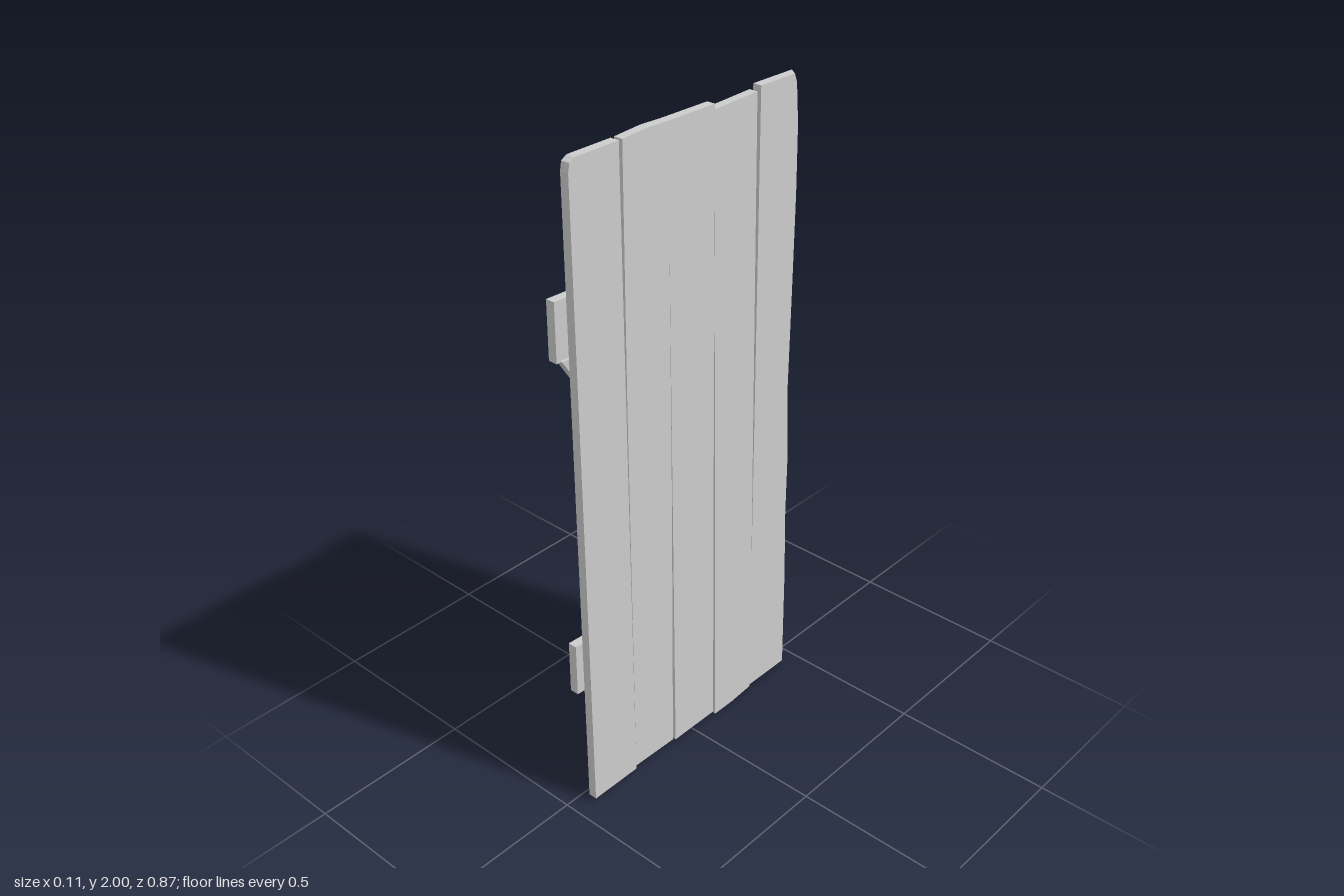
import * as THREE from 'three';

const THICK = 0.027;
const material = new THREE.MeshStandardMaterial({ color: 0xcccccc, flatShading: true });

// Upright board: outline of [z, y] points, thickened along x;
// backX(y, z) places its back face, adjust() may move single vertices.
function board(name, outline, thick, backX, adjust) {
  const shape = new THREE.Shape(outline.map(([z, y]) => new THREE.Vector2(-z, y)));
  const geo = new THREE.ExtrudeGeometry(shape, { depth: thick, bevelEnabled: false });
  geo.rotateY(Math.PI / 2);
  const p = geo.attributes.position;
  for (let i = 0; i < p.count; i++) {
    let x = p.getX(i), y = p.getY(i), z = p.getZ(i);
    if (adjust) z = adjust(x > thick / 2, y, z);
    p.setXYZ(i, x + backX(y, z), y, z);
  }
  geo.computeVertexNormals();
  const mesh = new THREE.Mesh(geo, material);
  mesh.name = name;
  return mesh;
}

export function createModel() {
  const door = new THREE.Group();
  door.name = 'plankDoor';

  // Planks lean slightly towards the back of the door at the top
  const lean = (y) => 0.029 - 0.0095 * y;
  const planks = new THREE.Group();
  planks.name = 'planks';
  door.add(planks);

  const outlines = [
    // front edge plank with a chipped top corner
    [[0.435, 0.015], [0.262, 0.015], [0.262, 1.995], [0.41, 1.995], [0.428, 1.985], [0.433, 1.96]],
    [[0.262, 0.027], [0.098, 0.023], [0.09, 0.9], [0.088, 1.72], [0.086, 1.997], [0.16, 2], [0.25, 1.995], [0.258, 1.25]],
    [[0.086, 0.015], [-0.09, 0.015], [-0.088, 0.7], [-0.088, 1.995], [0.086, 1.997], [0.088, 1.72], [0.087, 0.9]],
    [[-0.1, 0], [-0.18, 0], [-0.268, 0.008], [-0.267, 0.43], [-0.255, 1.985], [-0.088, 1.98], [-0.089, 1.44], [-0.095, 0.8]],
  ];
  outlines.forEach((o, i) => planks.add(board('plank' + (i + 1), o, THICK, lean)));

  // Rear edge plank: worn, wavy outer edge on its face side
  const wear = [[0.015, 0], [0.35, 0.001], [0.6, 0.006], [0.8, 0.004], [1.05, 0.012], [1.35, 0.007], [1.65, 0.003], [1.85, 0.004], [1.97, 0.012], [1.995, 0.02]];
  const worn = [[-0.266, 0.015], ...wear.map(([y, w]) => [-0.435 + w * 0.25, y]), [-0.27, 1.997]];
  const wearAt = new Map(wear.map(([y, w]) => [y.toFixed(3), w]));
  planks.add(board('wornPlank', worn, THICK, lean, (face, y, z) =>
    face && z < -0.4 ? z + (wearAt.get(y.toFixed(3)) ?? 0) : z));

  // Cross battens, set askew behind the planks
  const rect = (z0, z1, y0, y1) => [[z1, y0], [z0, y0], [z0, y1], [z1, y1]];
  door.add(board('topBatten', rect(-0.405, 0.435, 1.435, 1.608), 0.028,
    (y, z) => -0.0325 - 0.056 * z));
  door.add(board('bottomBatten', rect(-0.425, 0.42, 0.36, 0.53), 0.028,
    (y, z) => -0.0235 - 0.056 * z));

  // Diagonal brace between the battens
  door.add(board('diagonalBrace', [[-0.16, 0.525], [-0.35, 0.525], [0.245, 1.44], [0.425, 1.44]], 0.026,
    (y, z) => -0.0235 - 0.05 * z));

  return door;
}
